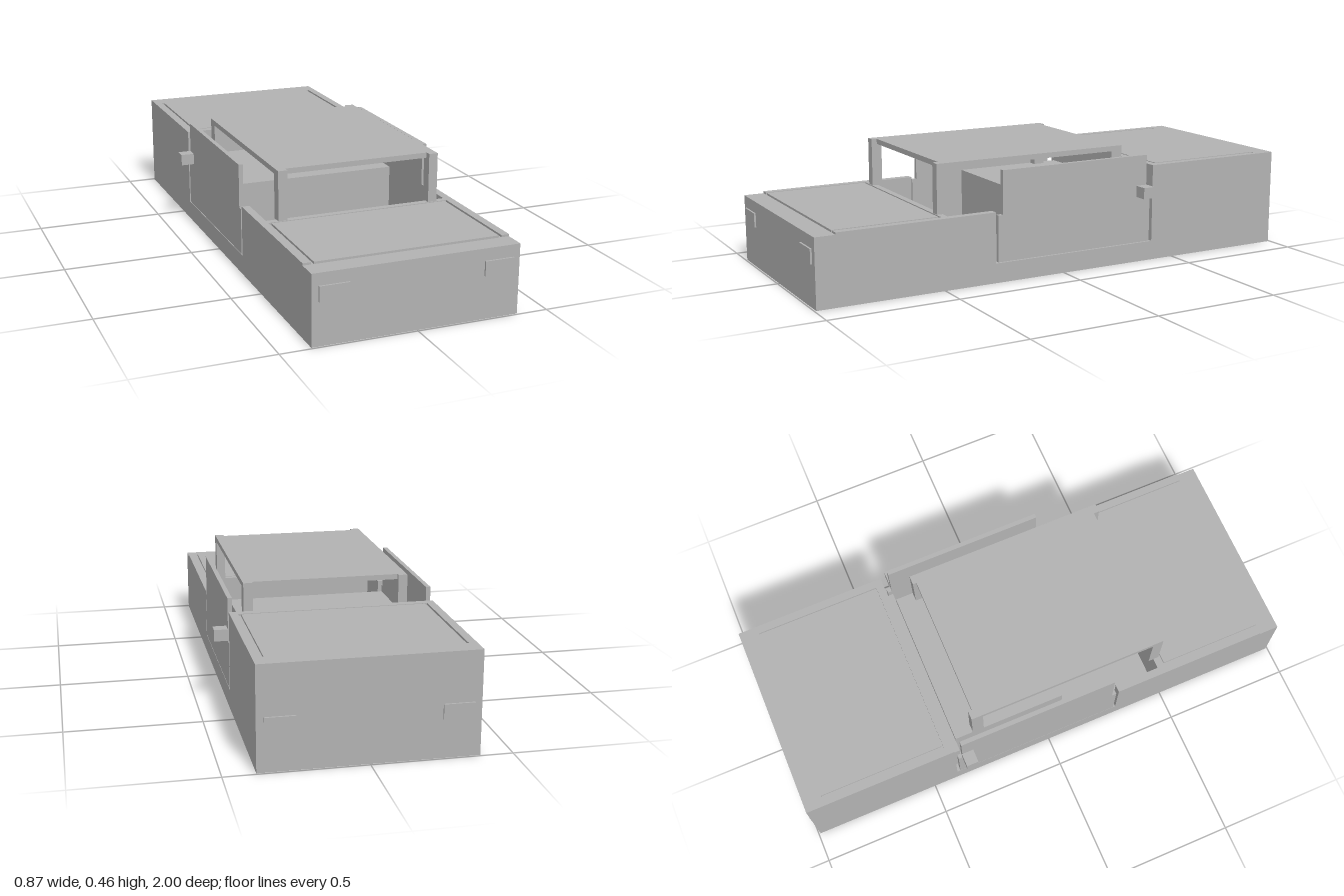
import * as THREE from 'three';

export function createModel() {
  const model = new THREE.Group();
  model.name = 'car';
  const grey = new THREE.MeshStandardMaterial({ color: 0xb2b2b2 });
  grey.name = 'grey';

  // Box given by its extents on each axis
  function box(name, x0, x1, y0, y1, z0, z1, parent = model) {
    const mesh = new THREE.Mesh(new THREE.BoxGeometry(x1 - x0, y1 - y0, z1 - z0), grey);
    mesh.position.set((x0 + x1) / 2, (y0 + y1) / 2, (z0 + z1) / 2);
    mesh.name = name;
    parent.add(mesh);
    return mesh;
  }
  // The same box on both sides
  function pair(name, x0, x1, ...rest) {
    box(name + 'Left', x0, x1, ...rest);
    box(name + 'Right', -x1, -x0, ...rest);
  }

  const W = 0.385, IN = 0.355, PANEL = 0.345;

  // Lower body: floor, nose and tail blocks, walls ahead of the doors
  box('floor', -W, W, 0, 0.075, -0.4, 0.475);
  box('nose', -W, W, 0, 0.26, 0.475, 0.993);
  box('tail', -W, W, 0, 0.37, -0.993, -0.4);
  pair('cockpitWall', IN, W, 0.075, 0.268, 0.293, 0.475);

  // Hood skin, with narrow grooves around the lid
  pair('fenderTop', IN, W, 0.26, 0.268, 0.475, 0.915);
  box('cowl', -IN, IN, 0.26, 0.268, 0.475, 0.5);
  box('hood', -PANEL, PANEL, 0.26, 0.268, 0.507, 0.915);

  // Rear deck skin, with grooves around the lid
  pair('rearFenderTop', IN, W, 0.37, 0.378, -0.993, -0.4);
  box('deckFront', -IN, IN, 0.37, 0.378, -0.43, -0.4);
  box('deckEnd', -IN, IN, 0.37, 0.378, -0.993, -0.92);
  box('deckLid', -PANEL, PANEL, 0.37, 0.378, -0.92, -0.437);

  // Cabin interior
  box('rearShelf', -IN, IN, 0.075, 0.255, -0.4, -0.37);
  box('seat', -0.315, 0.315, 0.075, 0.285, -0.37, 0.08);

  // Doors with a narrower upper part, and mirrors
  pair('doorLower', 0.368, W, 0.078, 0.255, -0.387, 0.283);
  pair('doorUpper', 0.368, W, 0.255, 0.422, -0.37, 0.264);
  pair('mirror', W, 0.437, 0.26, 0.304, -0.372, -0.325);

  // Roof on four pillars
  box('roof', -0.315, 0.315, 0.435, 0.455, -0.283, 0.475);
  pair('frontPillar', 0.28, 0.315, 0.266, 0.455, 0.455, 0.497);
  pair('rearPillar', 0.28, 0.315, 0.28, 0.455, -0.298, -0.252);

  // Head and tail lights
  pair('headlight', 0.25, 0.36, 0.16, 0.215, 0.993, 1);
  pair('tailLight', 0.25, 0.36, 0.14, 0.195, -1, -0.993);

  return model;
}
